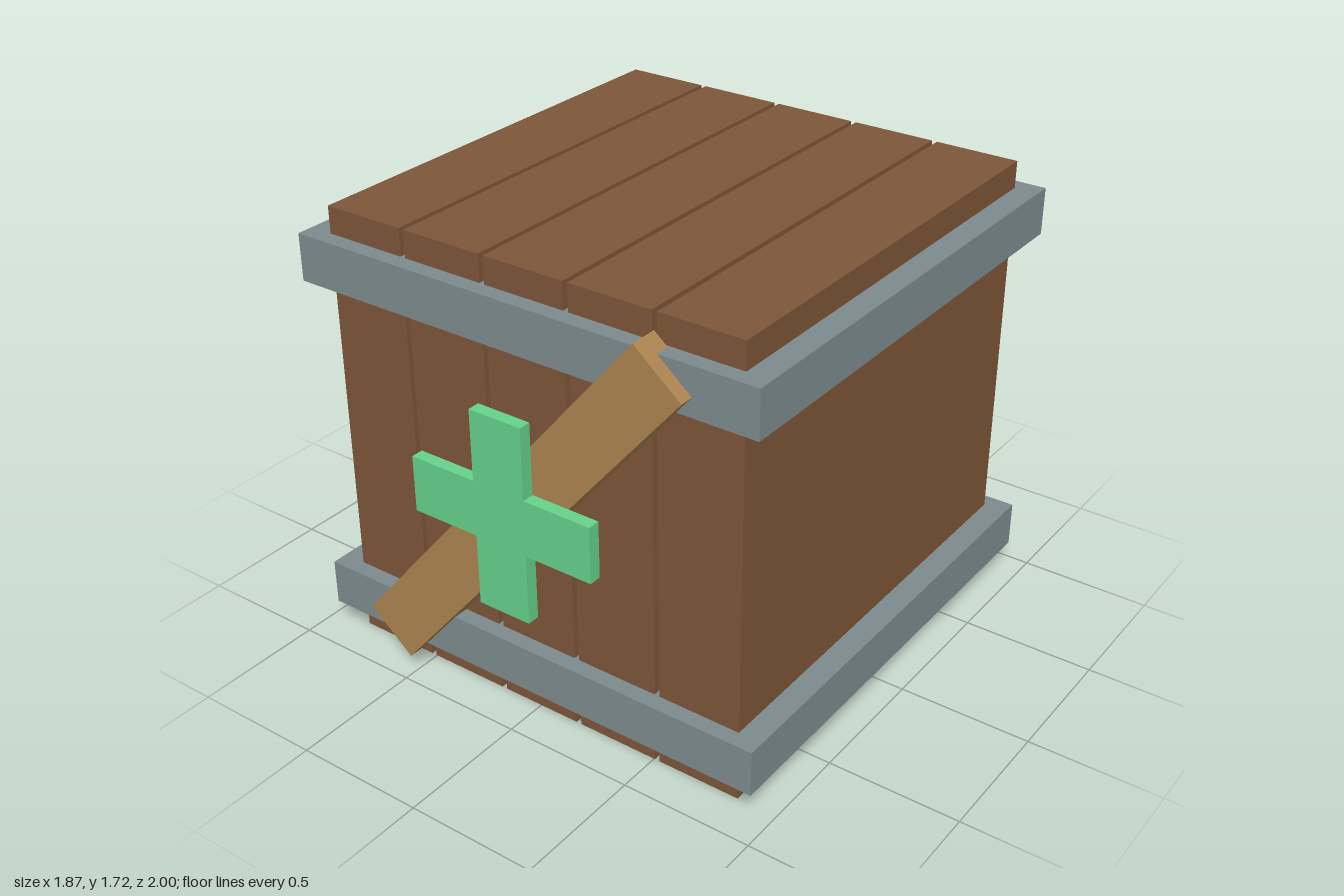
import * as THREE from 'three';

const material = (color) => new THREE.MeshStandardMaterial({ color, flatShading: true });

export function createModel() {
  const crate = new THREE.Group();
  crate.name = 'crate';
  const wood = material(0x7d5638);
  const metal = material(0x7d8b8e);
  const paleWood = material(0xad8450);
  const green = material(0x66d18c);

  const addBox = (name, size, position, mat) => {
    const mesh = new THREE.Mesh(new THREE.BoxGeometry(...size), mat);
    mesh.name = name;
    mesh.position.set(...position);
    crate.add(mesh);
    return mesh;
  };

  const midZ = -0.025;
  const midY = 0.86;

  // Five full-depth planks with narrow gaps between them
  for (let i = -2; i <= 2; i++) {
    addBox(`plank${i + 3}`, [0.322, 1.717, 1.717], [i * 0.3425, midY, midZ], wood);
  }

  // Metal bands around the lower and upper parts
  addBox('lowerBand', [1.874, 0.177, 1.84], [0, 0.192, midZ], metal);
  addBox('upperBand', [1.874, 0.177, 1.84], [0, 1.528, midZ], metal);

  // Diagonal braces on front and back, both rising towards +x
  for (const [name, z] of [['frontBrace', 0.895], ['backBrace', -0.946]]) {
    addBox(name, [1.89, 0.232, 0.108], [0, midY, z], paleWood).rotation.z = THREE.MathUtils.degToRad(50);
  }

  // Raised cross on the front
  const a = 0.107, b = 0.377;
  const outline = [
    [-a, -b], [a, -b], [a, -a], [b, -a], [b, a], [a, a],
    [a, b], [-a, b], [-a, a], [-b, a], [-b, -a], [-a, -a],
  ].map(([x, y]) => new THREE.Vector2(x, y));
  const cross = new THREE.Mesh(
    new THREE.ExtrudeGeometry(new THREE.Shape(outline), { depth: 0.047, bevelEnabled: false }),
    green,
  );
  cross.name = 'frontCross';
  cross.position.set(0, 0.878, 0.953);
  crate.add(cross);

  return crate;
}
